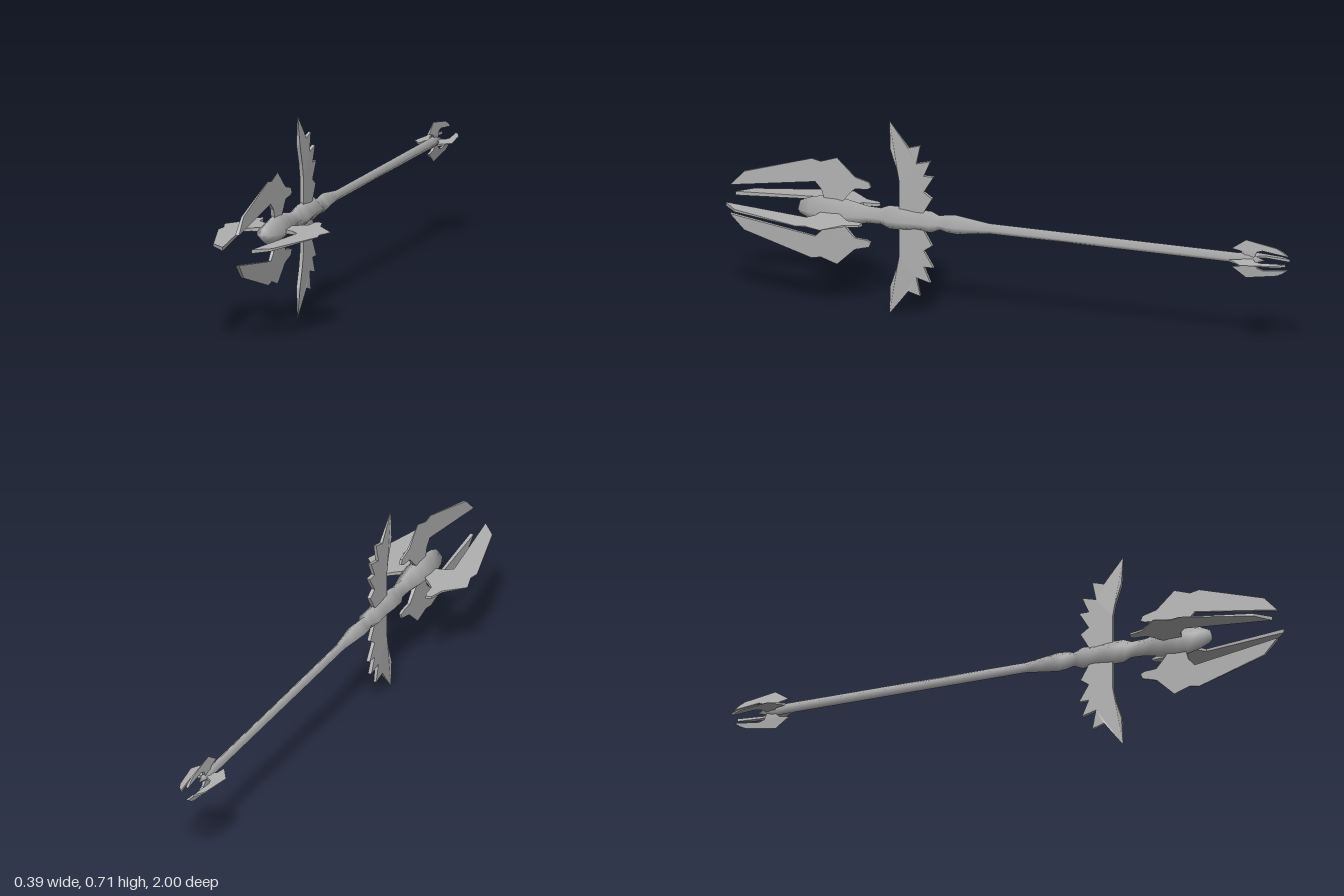
import * as THREE from 'three';

export function createModel() {
  const metal = new THREE.MeshStandardMaterial({ color: 0xb0b0b0 });
  metal.name = 'grey metal';
  const model = new THREE.Group();
  model.name = 'staff';

  // Shaft and swollen head: diamond cross-section, [radius, z] from tail to head
  const profile = [
    [0, -0.92], [0.012, -0.885], [0.021, -0.86], [0.019, -0.82], [0.019, 0.07],
    [0.027, 0.13], [0.035, 0.19], [0.033, 0.22], [0.026, 0.25], [0.04, 0.28],
    [0.037, 0.33], [0.043, 0.38], [0.043, 0.43], [0.03, 0.46], [0.032, 0.51],
    [0.045, 0.57], [0.053, 0.62], [0.053, 0.66], [0.042, 0.71], [0.024, 0.75], [0, 0.757],
  ].map(([r, z]) => new THREE.Vector2(r, z));
  const shaftGeo = new THREE.LatheGeometry(profile, 4);
  shaftGeo.rotateX(Math.PI / 2);
  const shaft = new THREE.Mesh(shaftGeo, metal);
  shaft.name = 'shaft';
  model.add(shaft);

  // Thin blade from a [z, radius] outline, thinning towards its outer edge
  function bladeGeometry(outline, half, taperStart) {
    const shape = new THREE.Shape(outline.map(([z, r]) => new THREE.Vector2(z, r)));
    const geo = new THREE.ExtrudeGeometry(shape, { depth: 2, bevelEnabled: false });
    const rMax = Math.max(...outline.map((p) => p[1]));
    const pos = geo.attributes.position;
    for (let i = 0; i < pos.count; i++) {
      const k = Math.min(1, (rMax - pos.getY(i)) / (rMax - taperStart));
      pos.setZ(i, (pos.getZ(i) - 1) * (half * k + 0.0005));
    }
    geo.rotateY(-Math.PI / 2);
    geo.computeVertexNormals();
    return geo;
  }

  // Repeat a blade evenly around the shaft
  function ring(name, geo, count) {
    for (let i = 0; i < count; i++) {
      const blade = new THREE.Mesh(geo, metal);
      blade.name = name;
      blade.rotation.z = (i * 2 * Math.PI) / count;
      model.add(blade);
    }
  }

  // Four long blades around the head
  ring('headBlade', bladeGeometry([
    [1, 0.053], [0.95, 0.107], [0.709, 0.182], [0.676, 0.175], [0.618, 0.195],
    [0.553, 0.132], [0.502, 0.118], [0.495, 0.1], [0.51, 0.093], [0.553, 0.09],
    [0.575, 0.066], [0.6, 0.035], [0.66, 0.035], [0.672, 0.075], [0.695, 0.1],
  ], 0.007, 0.04), 4);

  // Two jagged fins, above and below
  ring('jaggedFin', bladeGeometry([
    [0.43, 0.353], [0.378, 0.285], [0.361, 0.262], [0.318, 0.275], [0.332, 0.208],
    [0.281, 0.222], [0.305, 0.166], [0.27, 0.166], [0.305, 0.107], [0.275, 0.086],
    [0.307, 0.03], [0.393, 0.03], [0.393, 0.134], [0.402, 0.18], [0.425, 0.25],
  ], 0.006, 0.25), 2);

  // Four small barbs around the tail
  ring('tailBarb', bladeGeometry([
    [-1, 0.025], [-0.98, 0.04], [-0.96, 0.05], [-0.85, 0.069], [-0.8, 0.034],
    [-0.835, 0.027], [-0.85, 0.012], [-0.88, 0.01], [-0.89, 0.03], [-0.91, 0.036],
  ], 0.005, 0.02), 4);

  // Raise the whole staff so the lower fin touches the ground
  for (const part of model.children) part.position.y = 0.353;
  return model;
}
